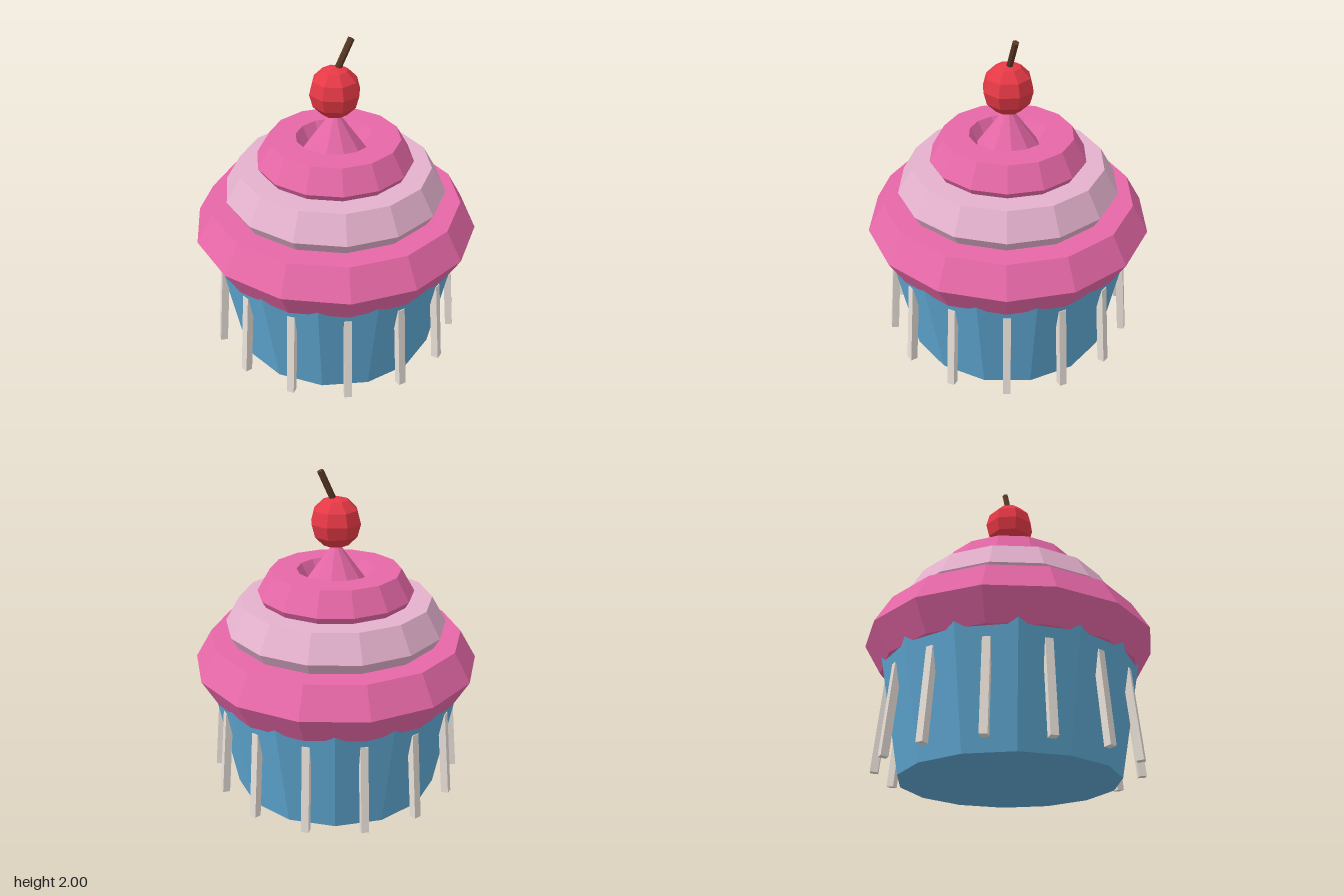
import * as THREE from 'three';

const material = (name, color) => {
  const m = new THREE.MeshStandardMaterial({ color, flatShading: true });
  m.name = name;
  return m;
};

export function createModel() {
  const blue = material('wrapper blue', 0x5fa8d3);
  const cream = material('pleat cream', 0xe8e0d8);
  const pink = material('icing pink', 0xe668a7);
  const palePink = material('icing pale pink', 0xe4b1cd);
  const red = material('cherry red', 0xe63946);
  const brown = material('stem brown', 0x5a3825);

  const model = new THREE.Group();
  model.name = 'cupcake';
  const SIDES = 14;

  const add = (name, geometry, mat, x, y, parent = model) => {
    const mesh = new THREE.Mesh(geometry, mat);
    mesh.name = name;
    mesh.position.set(x, y, 0);
    parent.add(mesh);
    return mesh;
  };

  // Tapered paper wrapper
  add('wrapper', new THREE.CylinderGeometry(0.77, 0.64, 0.68, SIDES), blue, 0, 0.34);

  // Thin pleats around the wrapper, feet splayed outwards
  const pleats = new THREE.Group();
  pleats.name = 'pleats';
  model.add(pleats);
  const pleatGeometry = new THREE.BoxGeometry(0.045, 0.54, 0.045);
  for (let i = 0; i < SIDES; i++) {
    const holder = new THREE.Group();
    holder.name = 'pleatHolder';
    holder.rotation.y = (i / SIDES) * Math.PI * 2;
    add('pleat', pleatGeometry, cream, 0.74, 0.315, holder).rotation.z = 0.09;
    pleats.add(holder);
  }

  // Stacked icing rings with hexagonal section: name, radius, tube, height, colour
  const rings = [
    ['lowerIcing', 0.67, 0.2, 0.818, pink],
    ['middleIcing', 0.495, 0.18, 1.06, palePink],
    ['upperIcing', 0.315, 0.16, 1.255, pink],
  ];
  for (const [name, radius, tube, y, mat] of rings) {
    add(name, new THREE.TorusGeometry(radius, tube, 6, SIDES).rotateX(Math.PI / 2), mat, 0, y);
  }

  // Icing peak
  add('icingPeak', new THREE.ConeGeometry(0.22, 0.3, 10), pink, 0, 1.425);

  // Cherry and its leaning stem
  add('cherry', new THREE.SphereGeometry(0.155, 8, 6), red, 0, 1.68);
  add('stem', new THREE.CylinderGeometry(0.02, 0.02, 0.2, 6), brown, 0.055, 1.9).rotation.z = -0.44;

  return model;
}
